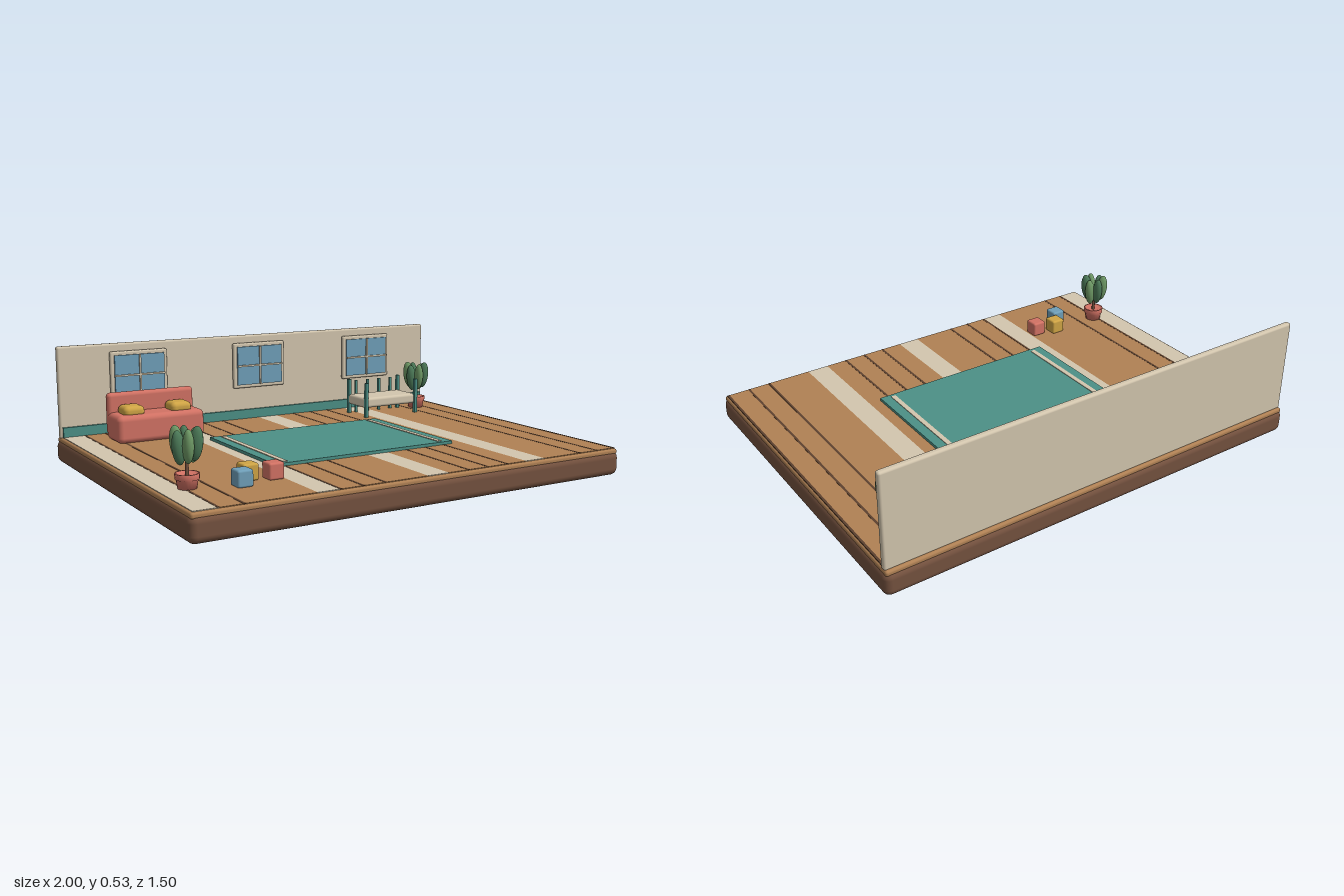
import * as THREE from 'three';
import { RoundedBoxGeometry } from 'three/addons/geometries/RoundedBoxGeometry.js';

const COLORS = {
  earthBrown: 0x75523f, grooveBrown: 0x5c412e, wood: 0xb08154, cream: 0xd3c6ae, teal: 0x4c9086,
  coral: 0xd27264, mustard: 0xd0a545, glassBlue: 0x6f9fb9, leafGreen: 0x6f9a66, darkLeafGreen: 0x4c7a58,
};

export function createModel() {
  const mats = {};
  for (const [name, color] of Object.entries(COLORS)) {
    mats[name] = new THREE.MeshStandardMaterial({ color });
    mats[name].name = name;
  }
  const model = new THREE.Group();
  model.name = 'playroom';

  const add = (parent, name, geo, mat, x, y, z) => {
    const mesh = new THREE.Mesh(geo, mats[mat]);
    mesh.name = name;
    mesh.position.set(x, y, z);
    parent.add(mesh);
    return mesh;
  };
  // Box given by its limits; r > 0 rounds the edges
  const box = (parent, name, mat, [x0, x1], [y0, y1], [z0, z1], r = 0) => {
    const size = [x1 - x0, y1 - y0, z1 - z0];
    const geo = r ? new RoundedBoxGeometry(...size, 3, r) : new THREE.BoxGeometry(...size);
    return add(parent, name, geo, mat, (x0 + x1) / 2, (y0 + y1) / 2, (z0 + z1) / 2);
  };
  const group = (name, x = 0, y = 0, z = 0) => {
    const g = new THREE.Group();
    g.name = name;
    g.position.set(x, y, z);
    model.add(g);
    return g;
  };

  // Platform
  box(model, 'base', 'earthBrown', [-1, 1], [0, 0.105], [-0.75, 0.75], 0.03);
  box(model, 'floorSlab', 'wood', [-0.992, 0.992], [0.09, 0.115], [-0.742, 0.742], 0.01);

  // Floorboards: every fifth one is cream
  const floor = group('floor');
  const pitch = 0.098;
  for (let i = 0; i < 20; i++) {
    const x = -0.98 + i * pitch;
    box(floor, 'plank', i % 5 ? 'wood' : 'cream', [x, x + pitch], [0.11, 0.118], [-0.725, 0.73]);
  }
  for (const k of [1, 2, 6, 7, 8, 12, 13, 14, 18, 19, 20]) {
    const x = -0.98 + k * pitch;
    box(floor, 'groove', 'grooveBrown', [x - 0.005, x + 0.005], [0.112, 0.1188], [-0.725, 0.73]);
  }

  // Back wall and skirting
  box(model, 'wall', 'cream', [-0.992, 0.992], [0.11, 0.527], [-0.73, -0.702], 0.01);
  box(model, 'skirting', 'teal', [-0.98, 0.98], [0.115, 0.162], [-0.703, -0.69]);

  // Windows
  for (const x of [-0.618, 0, 0.618]) {
    const w = group('window', x, 0.382, 0);
    box(w, 'windowFrame', 'cream', [-0.138, 0.138], [-0.11, 0.11], [-0.697, -0.676], 0.008);
    box(w, 'glass', 'glassBlue', [-0.12, 0.12], [-0.093, 0.093], [-0.677, -0.668]);
    box(w, 'mullion', 'cream', [-0.004, 0.004], [-0.093, 0.093], [-0.67, -0.66]);
    box(w, 'glazingBar', 'cream', [-0.12, 0.12], [-0.004, 0.004], [-0.67, -0.66]);
  }

  // Rug
  box(model, 'rug', 'teal', [-0.438, 0.438], [0.116, 0.131], [-0.307, 0.305]);
  for (const s of [-1, 1]) {
    box(model, 'rugStripe', 'cream', [s * 0.383 - 0.011, s * 0.383 + 0.011], [0.129, 0.134], [-0.288, 0.286]);
  }

  // Sofa
  const sofa = group('sofa');
  box(sofa, 'sofaSeat', 'coral', [-0.822, -0.412], [0.117, 0.24], [-0.575, -0.415], 0.025);
  box(sofa, 'sofaBack', 'coral', [-0.822, -0.412], [0.14, 0.326], [-0.58, -0.54], 0.018);
  for (const x of [-0.733, -0.511]) {
    box(sofa, 'cushion', 'mustard', [x - 0.049, x + 0.049], [0.226, 0.276], [-0.54, -0.441], 0.022);
  }

  // Small bed with spindles along the back
  const bed = group('bed');
  box(bed, 'mattress', 'cream', [0.445, 0.748], [0.163, 0.213], [-0.57, -0.41], 0.014);
  for (const x of [0.452, 0.745]) {
    for (const z of [-0.567, -0.408]) {
      box(bed, 'bedPost', 'teal', [x - 0.008, x + 0.008], [0.117, 0.288], [z - 0.008, z + 0.008]);
    }
  }
  for (let i = 0; i < 4; i++) {
    const x = 0.492 + i * 0.069;
    box(bed, 'spindle', 'teal', [x - 0.006, x + 0.006], [0.117, 0.28], [-0.574, -0.562]);
  }

  // Toy blocks
  for (const [mat, x, z] of [['glassBlue', -0.681, 0.503], ['mustard', -0.619, 0.425], ['coral', -0.527, 0.457]]) {
    box(model, 'toyBlock', mat, [x - 0.033, x + 0.033], [0.117, 0.184], [z - 0.033, z + 0.033], 0.009);
  }

  // Potted plants
  const potGeo = new THREE.LatheGeometry(
    [[0, 0], [0.036, 0], [0.042, 0.035], [0.046, 0.036], [0.047, 0.058], [0.04, 0.058], [0.038, 0.05], [0, 0.05]]
      .map(([x, y]) => new THREE.Vector2(x, y)), 20);
  const stemGeo = new THREE.CylinderGeometry(0.006, 0.008, 0.12, 8);
  const leafGeo = new THREE.SphereGeometry(1, 16, 12);
  for (const [x, z] of [[-0.868, 0.43], [0.84, -0.538]]) {
    const plant = group('plant', x, 0.117, z);
    add(plant, 'pot', potGeo, 'coral', 0, 0, 0);
    add(plant, 'stem', stemGeo, 'earthBrown', 0, 0.1, 0);
    for (let i = 0; i < 6; i++) {
      const a = (i / 6) * Math.PI * 2 + 0.3;
      const leaf = add(plant, 'leaf', leafGeo, i % 2 ? 'darkLeafGreen' : 'leafGreen',
        Math.cos(a) * 0.037, 0.157 + (i % 3) * 0.006, -Math.sin(a) * 0.037);
      leaf.scale.set(0.027, 0.066, 0.022);
      leaf.rotation.set(0, a, -0.12);
    }
  }
  return model;
}
